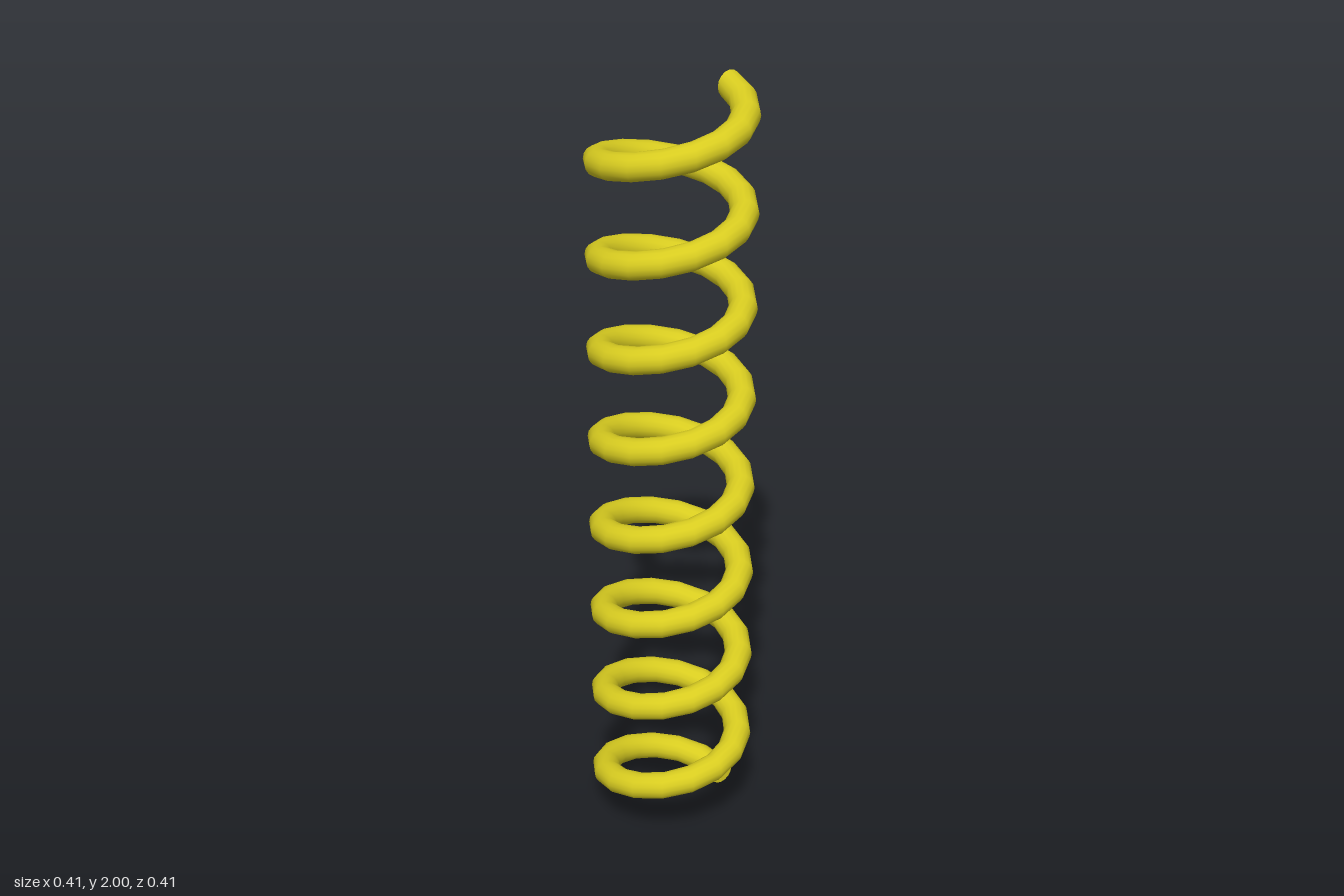
import * as THREE from 'three';

const COIL_RADIUS = 0.172;
const WIRE_RADIUS = 0.0345;
const TURNS = 8;
const STEPS = 16; // segments per turn
const SIDES = 16; // sides of the wire
const HEIGHT = 2;

// Wire: an upright circle swept along a helix, starting at the back
function coilGeometry() {
  const positions = [];
  const index = [];
  const rings = TURNS * STEPS;
  for (let i = 0; i <= rings; i++) {
    const turn = (i / STEPS) * Math.PI * 2;
    const y = WIRE_RADIUS + (i / rings) * (HEIGHT - 2 * WIRE_RADIUS);
    for (let j = 0; j < SIDES; j++) {
      const phi = (j / SIDES) * Math.PI * 2;
      const radius = COIL_RADIUS + WIRE_RADIUS * Math.cos(phi);
      positions.push(-radius * Math.sin(turn), y + WIRE_RADIUS * Math.sin(phi), -radius * Math.cos(turn));
      if (i < rings) {
        const a = i * SIDES + j;
        const b = i * SIDES + ((j + 1) % SIDES);
        index.push(a, a + SIDES, b, b, a + SIDES, b + SIDES);
      }
    }
  }
  const geometry = new THREE.BufferGeometry();
  geometry.setAttribute('position', new THREE.Float32BufferAttribute(positions, 3));
  geometry.setIndex(index);
  geometry.computeVertexNormals();
  return geometry;
}

export function createModel() {
  const group = new THREE.Group();
  group.name = 'coilSpring';
  const material = new THREE.MeshStandardMaterial({ color: 0xd8cc20 });

  const coil = new THREE.Mesh(coilGeometry(), material);
  coil.name = 'coil';
  group.add(coil);

  // Flat discs closing the cut ends of the wire
  const disc = new THREE.CircleGeometry(WIRE_RADIUS, SIDES);
  const ends = [
    ['bottomEnd', WIRE_RADIUS, Math.PI / 2],
    ['topEnd', HEIGHT - WIRE_RADIUS, -Math.PI / 2],
  ];
  for (const [name, y, angle] of ends) {
    const end = new THREE.Mesh(disc, material);
    end.name = name;
    end.position.set(0, y, -COIL_RADIUS);
    end.rotation.y = angle;
    group.add(end);
  }
  return group;
}
